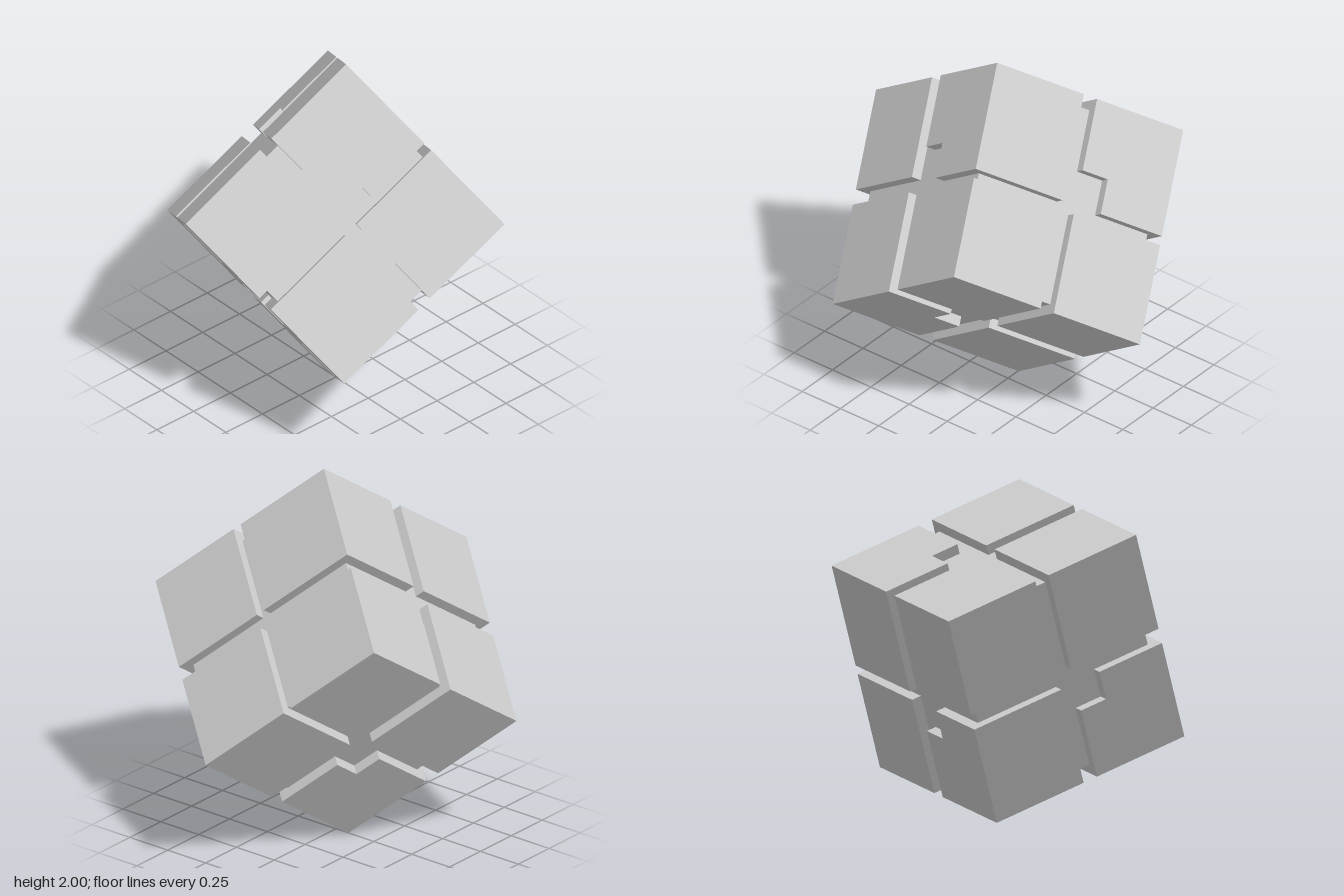
import * as THREE from 'three';

const EDGE = 1.158;      // edge of the whole cube
const DEPTH = 0.047;     // groove depth, as a fraction of the edge
const LOW_END = 0.466, HIGH_START = 0.537;    // sides of the grooves
const LOW_NOTCH = 0.333, HIGH_NOTCH = 0.672;  // far sides of the notches

export function createModel() {
  const material = new THREE.MeshStandardMaterial({ color: 0xcccccc, flatShading: true });
  const model = new THREE.Group();
  model.name = 'groovedCube';

  // The cube balances on one corner: its local axes run down from the top corner
  const axisX = new THREE.Vector3(-0.807, -0.57, -0.155).normalize();
  const axisZ = new THREE.Vector3().crossVectors(axisX, new THREE.Vector3(0.498, -0.52, -0.693)).normalize();
  const axisY = new THREE.Vector3().crossVectors(axisZ, axisX);
  const cube = new THREE.Group();
  cube.name = 'tiltedCube';
  cube.quaternion.setFromRotationMatrix(new THREE.Matrix4().makeBasis(axisX, axisY, axisZ));
  cube.position.y = 1;
  model.add(cube);

  const at = (f) => (f - 0.5) * EDGE;

  // Box between two corners given as fractions of the edge
  function addBox(parent, name, lo, hi) {
    const size = lo.map((v, i) => (hi[i] - v) * EDGE);
    const mesh = new THREE.Mesh(new THREE.BoxGeometry(...size), material);
    mesh.position.set(...lo.map((v, i) => at((v + hi[i]) / 2)));
    mesh.name = name;
    parent.add(mesh);
  }

  // Outer layer of a block, with a rectangle cut from its inner corner
  function addNotchedPlate(parent, lo, hi, sides, k, start) {
    const i = (k + 1) % 3, j = (k + 2) % 3;
    const [[oi, ni, mi], [oj, nj, mj]] = [i, j].map((n) => (sides[n]
      ? [hi[n], lo[n], HIGH_NOTCH]
      : [lo[n], hi[n], LOW_NOTCH]).map(at));
    const shape = new THREE.Shape([
      [oi, oj], [ni, oj], [ni, mj], [mi, mj], [mi, nj], [oi, nj],
    ].map(([x, y]) => new THREE.Vector2(x, y)));
    const geometry = new THREE.ExtrudeGeometry(shape, { depth: DEPTH * EDGE, bevelEnabled: false });
    const unit = (n) => new THREE.Vector3().setComponent(n, 1);
    geometry.applyMatrix4(new THREE.Matrix4().makeBasis(unit(i), unit(j), unit(k)));
    const mesh = new THREE.Mesh(geometry, material);
    mesh.position.setComponent(k, at(start));
    mesh.name = 'notchedPlate';
    parent.add(mesh);
  }

  // Core that shows as the floor of the grooves
  addBox(cube, 'core', [DEPTH, DEPTH, DEPTH], [1 - DEPTH, 1 - DEPTH, 1 - DEPTH]);

  // Notched faces (by axis) of each block; one notch on each face of the cube
  const notches = { '000': [1], '010': [2, 0], '101': [2, 0], '111': [1] };

  // Eight corner blocks
  for (let n = 0; n < 8; n++) {
    const sides = [n & 1, (n >> 1) & 1, (n >> 2) & 1];
    const key = sides.join('');
    const lo = sides.map((s) => (s ? HIGH_START : 0));
    const hi = sides.map((s) => (s ? 1 : LOW_END));
    // Two blocks reach further into the groove
    if (!sides[0] && !sides[2]) hi[2] = 0.495;

    const block = new THREE.Group();
    block.name = 'cornerBlock' + (n + 1);
    cube.add(block);
    for (const k of notches[key] || []) {
      addNotchedPlate(block, lo, hi, sides, k, sides[k] ? 1 - DEPTH : 0);
      if (sides[k]) hi[k] = 1 - DEPTH;
      else lo[k] = DEPTH;
    }
    addBox(block, 'blockBody', lo, hi);
  }
  return model;
}
